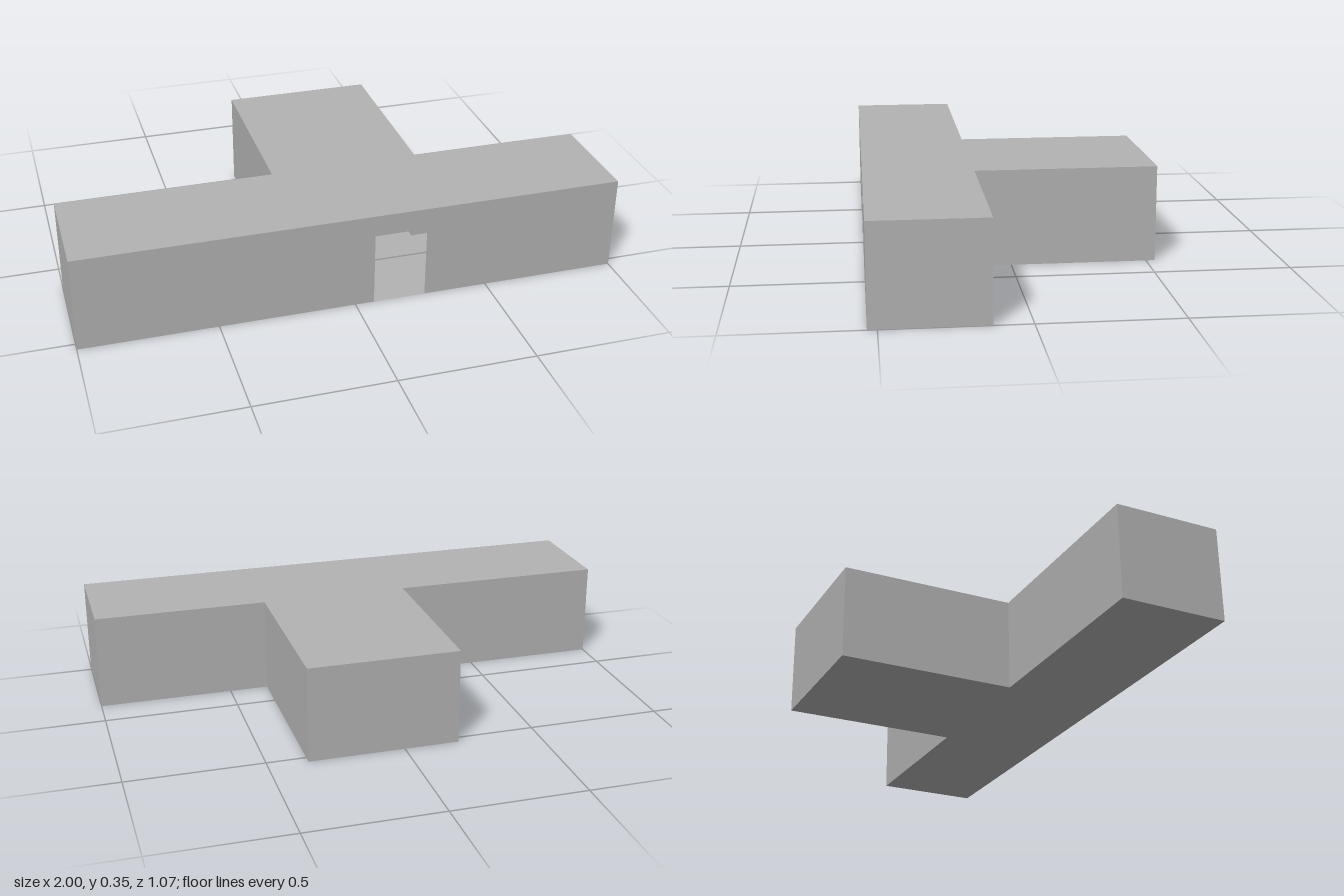
import * as THREE from 'three';

const H = 0.355, FRONT = 0.533, BACK = -0.533, INNER = 0.133;
const STEM_L = -0.202, STEM_R = 0.355;

export function createModel() {
  const model = new THREE.Group();
  model.name = 'building';
  const grey = new THREE.MeshStandardMaterial({ color: 0xb2b2b2, side: THREE.DoubleSide, flatShading: true });
  grey.name = 'plain grey';

  const add = (name, geometry) => {
    const mesh = new THREE.Mesh(geometry, grey);
    mesh.name = name;
    model.add(mesh);
    return mesh;
  };

  // T-shaped footprint as [x, z], starting along the front
  const plan = [[-1, FRONT], [1, FRONT], [1, INNER], [STEM_R, INNER],
    [STEM_R, BACK], [STEM_L, BACK], [STEM_L, INNER], [-1, INNER]];

  // Floor and roof sheets
  const slab = new THREE.Shape(plan.map(([x, z]) => new THREE.Vector2(x, -z)));
  add('floor', new THREE.ShapeGeometry(slab).rotateX(Math.PI / 2).scale(1, 1, -1));
  const floor = model.children[0];
  // Turn the floor sheet to face downward
  floor.geometry.dispose();
  floor.geometry = new THREE.ShapeGeometry(
    new THREE.Shape(plan.map(([x, z]) => new THREE.Vector2(x, z)))
  ).rotateX(Math.PI / 2);
  add('roof', new THREE.ShapeGeometry(slab).rotateX(-Math.PI / 2)).position.y = H;

  // Side and back walls, one sheet per plan edge after the front
  for (let i = 1; i < plan.length; i++) {
    const [x0, z0] = plan[i], [x1, z1] = plan[(i + 1) % plan.length];
    const wall = add('wall' + i, new THREE.PlaneGeometry(Math.hypot(x1 - x0, z1 - z0), H));
    wall.position.set((x0 + x1) / 2, H / 2, (z0 + z1) / 2);
    wall.rotation.y = Math.atan2(-(z1 - z0), x1 - x0);
  }

  // Front wall with a doorway cut up from the ground
  const L = 0.07, R = 0.263, TOP = 0.275;
  const front = new THREE.Shape([[-1, 0], [L, 0], [L, TOP], [R, TOP], [R, 0], [1, 0], [1, H], [-1, H]]
    .map(([x, y]) => new THREE.Vector2(x, y)));
  add('frontWall', new THREE.ShapeGeometry(front)).position.z = FRONT;

  // Thin rail between the doorway and the opening above it
  add('doorRail', new THREE.PlaneGeometry(R - L, 0.006)).position.set((L + R) / 2, 0.177, FRONT);

  return model;
}
